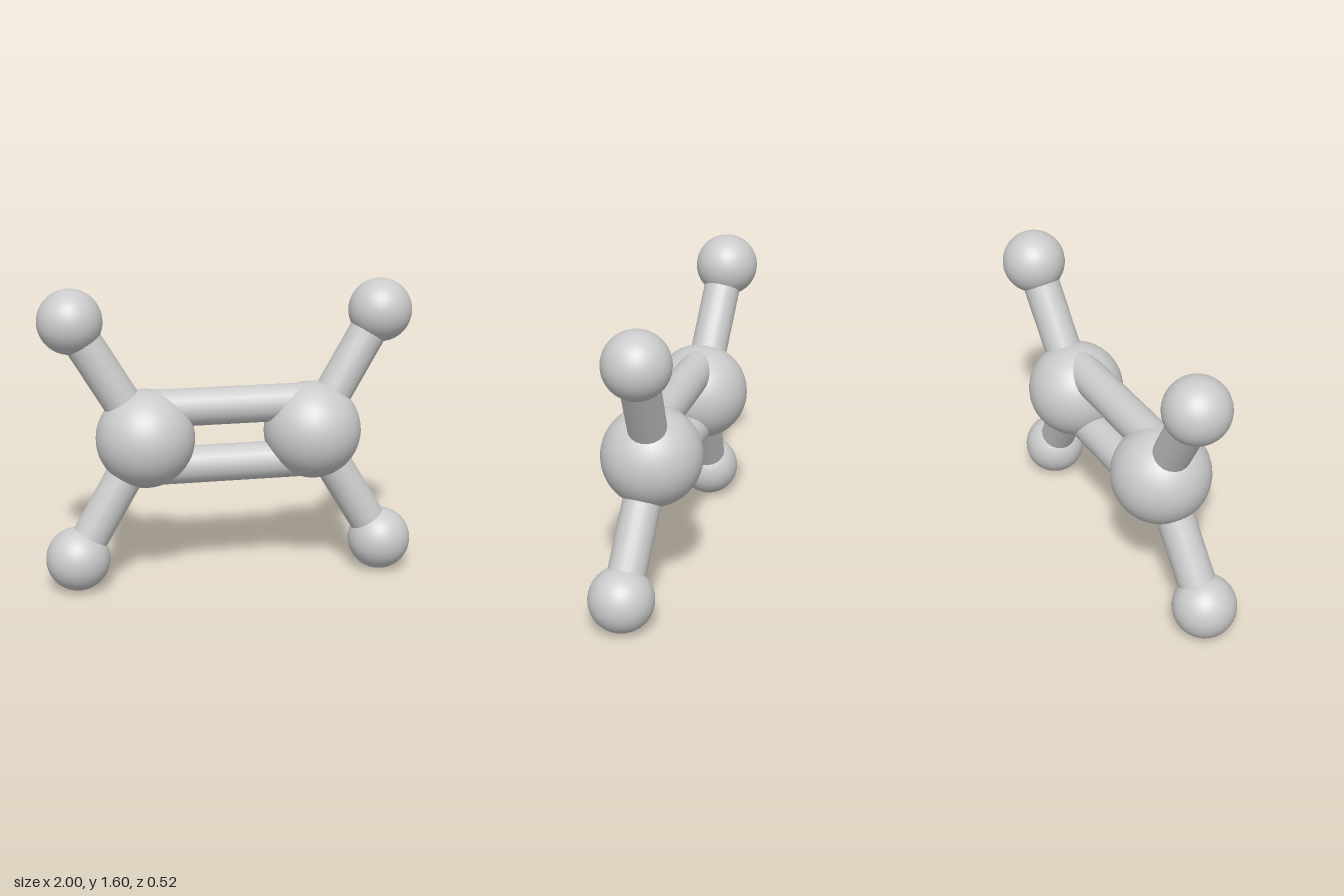
import * as THREE from 'three';

const material = new THREE.MeshStandardMaterial({ color: 0xcccccc });
const BOND_RADIUS = 0.1;

function ball(name, centre, radius) {
  const mesh = new THREE.Mesh(new THREE.SphereGeometry(radius, 40, 28), material);
  mesh.name = name;
  mesh.position.copy(centre);
  return mesh;
}

// Round rod running between two points
function rod(name, from, to) {
  const along = to.clone().sub(from);
  const geometry = new THREE.CylinderGeometry(BOND_RADIUS, BOND_RADIUS, along.length(), 20);
  const mesh = new THREE.Mesh(geometry, material);
  mesh.name = name;
  mesh.position.copy(from).add(to).multiplyScalar(0.5);
  mesh.quaternion.setFromUnitVectors(new THREE.Vector3(0, 1, 0), along.normalize());
  return mesh;
}

export function createModel() {
  const model = new THREE.Group();
  model.name = 'molecule';
  const midY = 0.804;

  for (const side of [-1, 1]) {
    const sideName = side > 0 ? 'left' : 'right';
    const core = new THREE.Vector3(side * 0.453, midY, 0);
    model.add(ball(`${sideName}LargeAtom`, core, 0.262));

    // Two small atoms per large atom: upper leans back, lower leans forward
    for (const level of [-1, 1]) {
      const name = sideName + (level > 0 ? 'Upper' : 'Lower');
      const tip = new THREE.Vector3(side * 0.83, midY + level * 0.631, level * -0.047);
      const middle = core.clone().lerp(tip, 0.5);
      model.add(ball(`${name}SmallAtom`, tip, 0.17));
      model.add(rod(`${name}InnerBond`, core, middle));
      model.add(rod(`${name}OuterBond`, middle, tip));
    }
  }

  // Parallel pair of rods forming the double bond
  for (const level of [-1, 1]) {
    const y = midY + level * 0.158;
    model.add(rod(
      level > 0 ? 'upperDoubleBond' : 'lowerDoubleBond',
      new THREE.Vector3(-0.453, y, 0),
      new THREE.Vector3(0.453, y, 0),
    ));
  }
  return model;
}
